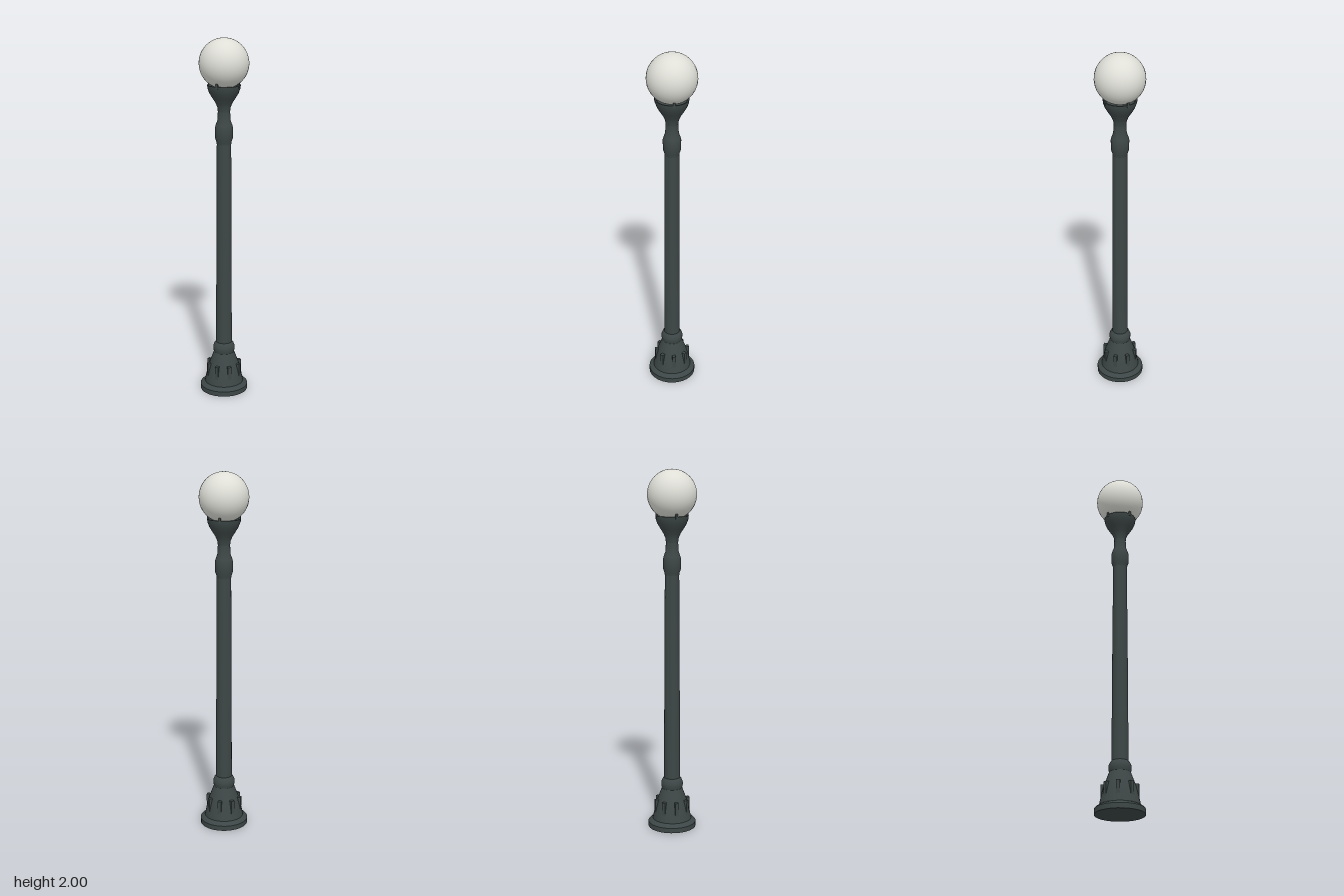
import * as THREE from 'three';
import { toCreasedNormals } from 'three/addons/utils/BufferGeometryUtils.js';

const SIDES = 28;

export function createModel() {
  const model = new THREE.Group();
  model.name = 'streetLamp';

  const iron = new THREE.MeshStandardMaterial({ color: 0x3d4646 });
  iron.name = 'dark iron';
  const glass = new THREE.MeshStandardMaterial({ color: 0xdfdfd8 });
  glass.name = 'frosted glass';

  const add = (name, geometry, material, parent = model) => {
    const mesh = new THREE.Mesh(geometry, material);
    mesh.name = name;
    parent.add(mesh);
    return mesh;
  };
  // Profile of [radius, height] pairs, bottom to top
  const turned = (name, profile) => {
    const points = profile.map(([r, y]) => new THREE.Vector2(r, y));
    add(name, toCreasedNormals(new THREE.LatheGeometry(points, SIDES), 0.6), iron);
  };
  // Copies of a box set around the post
  const ring = (name, count, start, size, radius, y) => {
    const group = new THREE.Group();
    group.name = name + 's';
    model.add(group);
    const geometry = new THREE.BoxGeometry(...size);
    for (let i = 0; i < count; i++) {
      const angle = start + (i / count) * Math.PI * 2;
      const box = add(name, geometry, iron, group);
      box.position.set(Math.sin(angle) * radius, y, Math.cos(angle) * radius);
      box.rotation.y = angle;
    }
  };

  // Wide foot and bell-shaped base with its collar
  turned('base', [
    [0, 0], [0.134, 0], [0.134, 0.028], [0.124, 0.038], [0.109, 0.046],
    [0.103, 0.075], [0.094, 0.115], [0.083, 0.155], [0.068, 0.195], [0.057, 0.225],
    [0.061, 0.24], [0.061, 0.258], [0.053, 0.277], [0.044, 0.286],
  ]);

  // Upright fins around the base
  ring('baseFin', 8, 0, [0.02, 0.085, 0.05], 0.075, 0.1175);

  // Slightly tapered shaft
  turned('shaft', [[0.045, 0.27], [0.0425, 0.9], [0.039, 1.45]]);

  // Swollen collar and narrow neck
  turned('neck', [
    [0.039, 1.43], [0.041, 1.445], [0.048, 1.465], [0.049, 1.52],
    [0.045, 1.535], [0.036, 1.56], [0.033, 1.61], [0.034, 1.63],
  ]);

  // Flared cup, hollow at the top
  turned('cup', [
    [0.033, 1.61], [0.036, 1.633], [0.046, 1.657], [0.064, 1.685], [0.079, 1.71],
    [0.088, 1.735], [0.09, 1.752], [0.083, 1.752], [0.075, 1.74], [0, 1.735],
  ]);

  // Clips holding the globe
  ring('globeClip', 4, Math.PI / 4, [0.012, 0.035, 0.01], 0.086, 1.757);

  // Glass globe
  add('globe', new THREE.SphereGeometry(0.134, 32, 24), glass).position.y = 1.866;

  return model;
}
